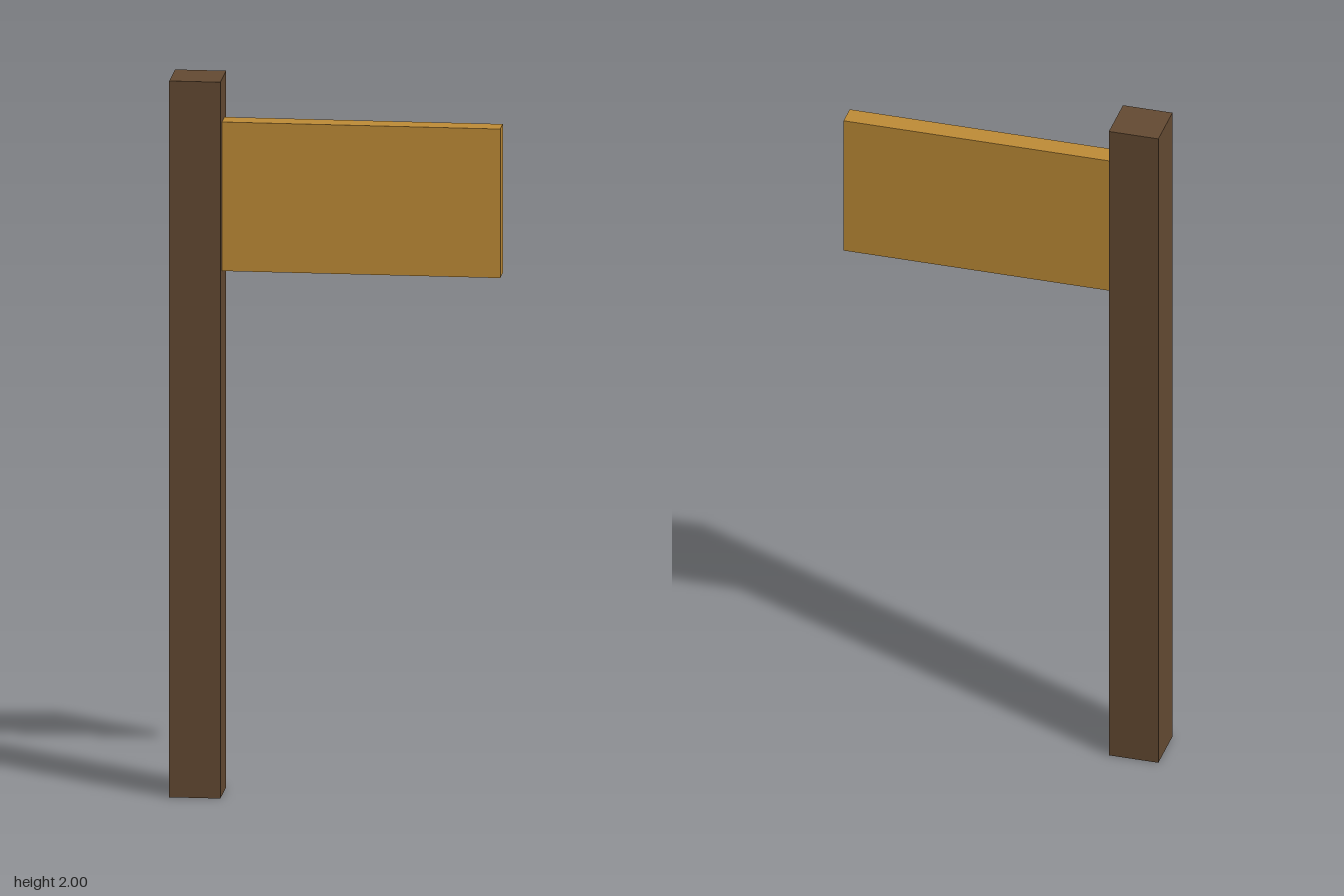
import * as THREE from 'three';

// Box given by its centre and size
function addBox(group, name, color, size, position) {
  const material = new THREE.MeshStandardMaterial({ color });
  const mesh = new THREE.Mesh(new THREE.BoxGeometry(...size), material);
  mesh.name = name;
  mesh.position.set(...position);
  group.add(mesh);
}

export function createModel() {
  const group = new THREE.Group();
  group.name = 'signpost';

  // Square upright post
  addBox(group, 'post', 0x644a32, [0.14, 2, 0.14], [-0.381, 1, 0]);

  // Plank fixed to the post's left side
  addBox(group, 'signBoard', 0xbf8c37, [0.764, 0.416, 0.061], [0.069, 1.672, 0]);

  return group;
}
